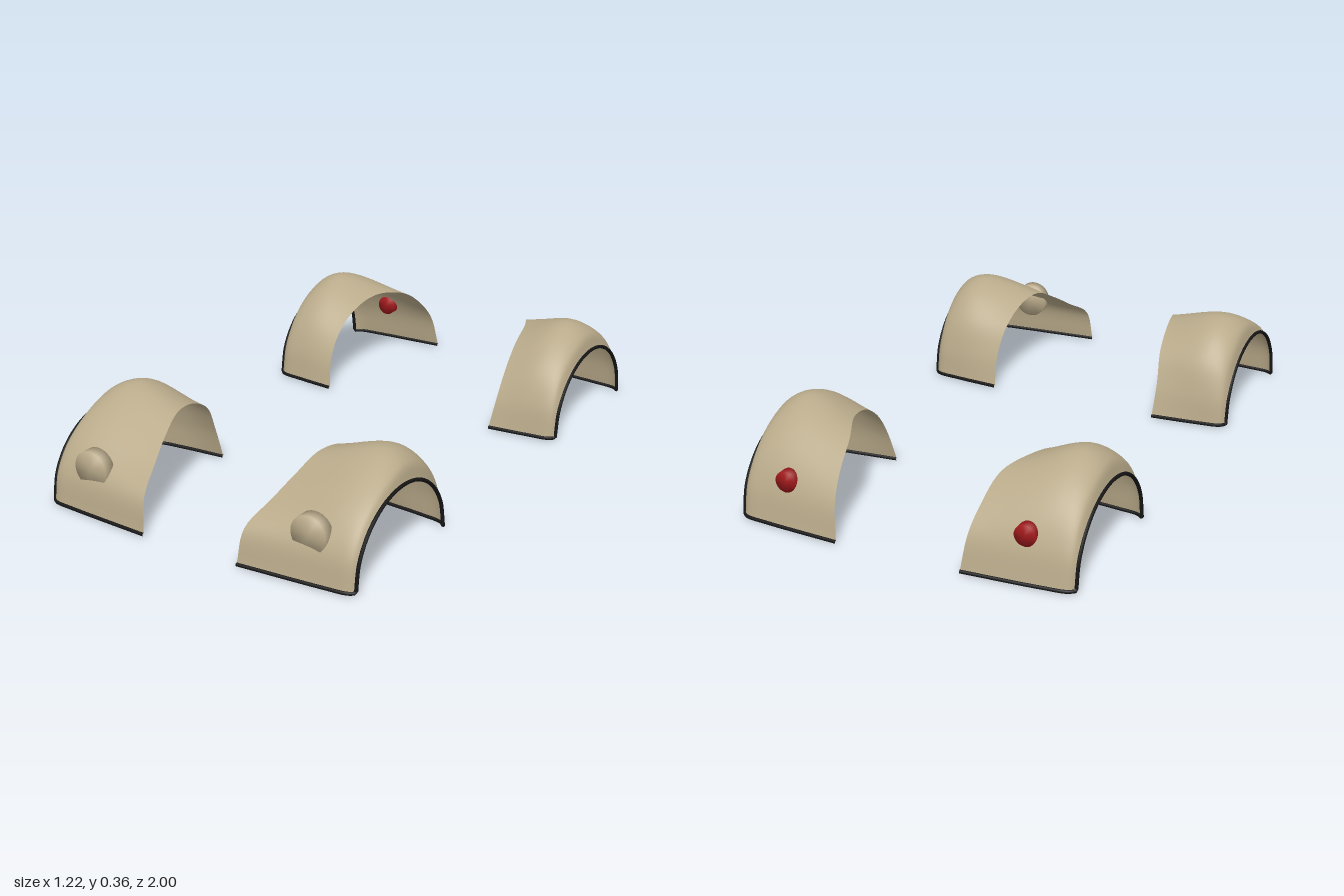
import * as THREE from 'three';
import { mergeVertices } from 'three/addons/utils/BufferGeometryUtils.js';

const paint = new THREE.MeshStandardMaterial({ color: 0xb9aa8a, side: THREE.DoubleSide });
paint.name = 'beige paint';
const rubber = new THREE.MeshStandardMaterial({ color: 0x161616 });
rubber.name = 'black rubber';
const red = new THREE.MeshStandardMaterial({ color: 0xa01a1c });
red.name = 'red lens';

const BASE = 0.011, ALONG = 48, ACROSS = 24;

// Crown ribs [z, y] and inner edges [x, y, z], from the bumper end to the cabin end
const frontShape = {
  centre: 0.68,
  crown: [[0.972, BASE], [0.95, 0.125], [0.89, 0.215], [0.775, 0.3], [0.63, 0.355],
    [0.52, 0.323], [0.435, 0.235], [0.395, 0.12], [0.38, BASE]],
  inner: [[0.187, BASE, 0.993], [0.2, 0.13, 0.965], [0.235, 0.2, 0.86], [0.262, 0.255, 0.77],
    [0.285, 0.302, 0.67], [0.302, 0.295, 0.57], [0.318, 0.235, 0.46], [0.332, 0.13, 0.4], [0.328, BASE, 0.365]],
};
const rearShape = {
  centre: -0.68,
  crown: [[-0.975, BASE], [-0.95, 0.13], [-0.895, 0.235], [-0.8, 0.32], [-0.68, 0.362],
    [-0.56, 0.325], [-0.46, 0.24], [-0.405, 0.13], [-0.382, BASE]],
  inner: [[0.225, BASE, -0.993], [0.24, 0.13, -0.965], [0.255, 0.21, -0.905], [0.276, 0.285, -0.8],
    [0.328, 0.307, -0.68], [0.352, 0.28, -0.56], [0.365, 0.21, -0.46], [0.365, 0.12, -0.4], [0.352, BASE, -0.367]],
};

// Grid of points: rows run along the arch, columns from the outer lip to the inner edge
function shellGrid({ centre, crown, inner }, side) {
  const dir = Math.sign(centre);
  const outer = [], shoulder = [], top = [], inside = [];
  for (let i = 0; i < 9; i++) {
    const a = (i / 8) * Math.PI;
    const o = new THREE.Vector3(0.604, BASE + 0.255 * Math.sin(a), centre + dir * 0.268 * Math.cos(a));
    const c = new THREE.Vector3(0.5, crown[i][1], crown[i][0]);
    outer.push(o);
    top.push(c);
    shoulder.push(o.clone().lerp(c, 0.6).setX(0.583));
    inside.push(new THREE.Vector3(...inner[i]));
  }
  const ribs = [outer, shoulder, top, inside].map((p) => new THREE.CatmullRomCurve3(p));
  const rows = [];
  for (let i = 0; i <= ALONG; i++) {
    const section = new THREE.CatmullRomCurve3(ribs.map((r) => r.getPoint(i / ALONG)));
    rows.push(section.getPoints(ACROSS).map((p) => p.setX(p.x * side)));
  }
  return rows;
}

function shellGeometry(rows, flip) {
  const index = [];
  const w = ACROSS + 1;
  for (let i = 0; i < ALONG; i++) {
    for (let j = 0; j < ACROSS; j++) {
      const a = i * w + j, b = a + 1, c = a + w, d = c + 1;
      if (flip) index.push(a, c, b, b, c, d);
      else index.push(a, b, c, b, d, c);
    }
  }
  const g = new THREE.BufferGeometry().setFromPoints(rows.flat());
  g.setIndex(index);
  g.computeVertexNormals();
  return g;
}

// Round lamp body with softened normals, facing along z
function lampGeometry(radius, depth) {
  let g = new THREE.CylinderGeometry(radius, radius, depth, 32).rotateX(Math.PI / 2);
  g.deleteAttribute('normal');
  g.deleteAttribute('uv');
  g = mergeVertices(g);
  g.computeVertexNormals();
  return g;
}

function add(parent, name, geometry, material) {
  const mesh = new THREE.Mesh(geometry, material);
  mesh.name = name;
  parent.add(mesh);
  return mesh;
}

function makeFender(shape, side, name) {
  const group = new THREE.Group();
  group.name = name;
  const rows = shellGrid(shape, side);
  // Winding that makes the outside the front face
  const flip = (side > 0) === (shape.centre > 0);
  add(group, 'fenderShell', shellGeometry(rows, !flip), paint);

  // Rubber bead around the wheel opening and along both lower edges
  const paths = [rows[0].slice().reverse(), rows.map((r) => r[0]), rows[ALONG]];
  const edge = new THREE.CatmullRomCurve3([...paths[0], ...paths[1].slice(1), ...paths[2].slice(1)]);
  add(group, 'rubberBead', new THREE.TubeGeometry(edge, 160, 0.0065, 8), rubber);

  // Lamp on the bumper end
  if (shape.centre > 0) {
    add(group, 'headlamp', lampGeometry(0.065, 0.044), paint).position.set(0.433 * side, 0.166, 0.932);
  } else {
    add(group, 'tailLamp', lampGeometry(0.037, 0.035), red).position.set(0.432 * side, 0.165, -0.938);
  }
  return group;
}

export function createModel() {
  const model = new THREE.Group();
  model.name = 'fenderSet';
  for (const [side, label] of [[1, 'Left'], [-1, 'Right']]) {
    model.add(makeFender(frontShape, side, 'front' + label + 'Fender'));
    model.add(makeFender(rearShape, side, 'rear' + label + 'Fender'));
  }
  return model;
}
